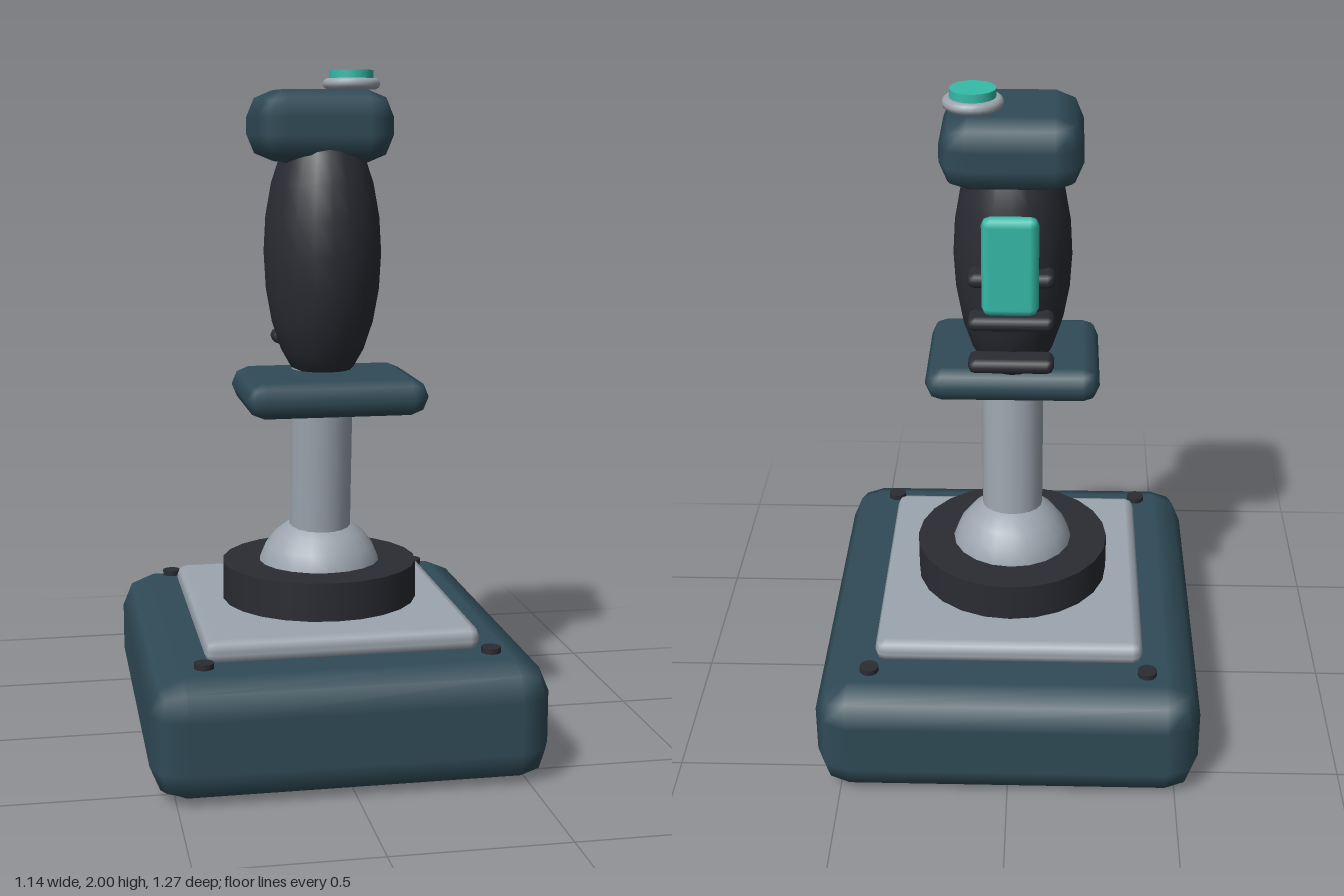
import * as THREE from 'three';
import { RoundedBoxGeometry } from 'three/addons/geometries/RoundedBoxGeometry.js';

export function createModel() {
  const model = new THREE.Group();
  model.name = 'joystick';

  const paint = (color) => new THREE.MeshStandardMaterial({ color });
  const slate = paint(0x304b57);
  const black = paint(0x2a2c33);
  const grey = paint(0x9ca5af);
  const teal = paint(0x36bba9);

  const add = (name, geometry, material, x, y, z) => {
    const mesh = new THREE.Mesh(geometry, material);
    mesh.name = name;
    mesh.position.set(x, y, z);
    model.add(mesh);
    return mesh;
  };
  // Box with two-facet softened edges
  const softBox = (w, h, d, r) => new RoundedBoxGeometry(w, h, d, 1, r);

  // Base, top plate and corner screws
  add('base', softBox(1.14, 0.35, 1.275, 0.1), slate, 0, 0.175, 0);
  add('topPlate', softBox(0.8, 0.07, 0.87, 0.03), grey, 0, 0.376, 0);
  for (const sx of [-1, 1]) {
    for (const sz of [-1, 1]) {
      add('screw', new THREE.CylinderGeometry(0.028, 0.028, 0.016, 16), black, sx * 0.411, 0.367, sz * 0.493);
    }
  }

  // Pivot: collar, ball and leaning shaft
  add('collar', new THREE.CylinderGeometry(0.296, 0.296, 0.12, 24), black, 0, 0.466, 0);
  add('pivotBall', new THREE.SphereGeometry(0.19, 20, 12), grey, 0, 0.477, 0);
  const shaft = add('shaft', new THREE.CylinderGeometry(0.093, 0.093, 0.54, 20), grey, 0, 0.87, 0.034);
  shaft.rotation.x = 0.08;

  // Hand rest and grip
  add('handRest', softBox(0.525, 0.104, 0.435, 0.05), slate, 0, 1.073, 0.15);
  const grip = add('grip', new THREE.SphereGeometry(1, 20, 12), black, 0, 1.47, 0.052);
  grip.scale.set(0.174, 0.405, 0.198);

  // Finger ridges on the back of the grip
  for (let i = 0; i < 3; i++) {
    add('fingerRidge', softBox(0.25, 0.044, 0.092, 0.021), black, 0, 1.2 + i * 0.135, -0.126);
  }

  // Trigger and head
  add('trigger', softBox(0.16, 0.295, 0.054, 0.025), teal, 0, 1.548, -0.229);
  add('head', softBox(0.4, 0.21, 0.4, 0.08), slate, 0, 1.837, 0);

  // Thumb button with its ring
  const ring = add('buttonRing', new THREE.TorusGeometry(0.069, 0.017, 10, 24), grey, 0.107, 1.96, -0.049);
  ring.rotation.x = Math.PI / 2;
  add('thumbButton', new THREE.CylinderGeometry(0.065, 0.065, 0.05, 24), teal, 0.107, 1.975, -0.049);

  return model;
}
